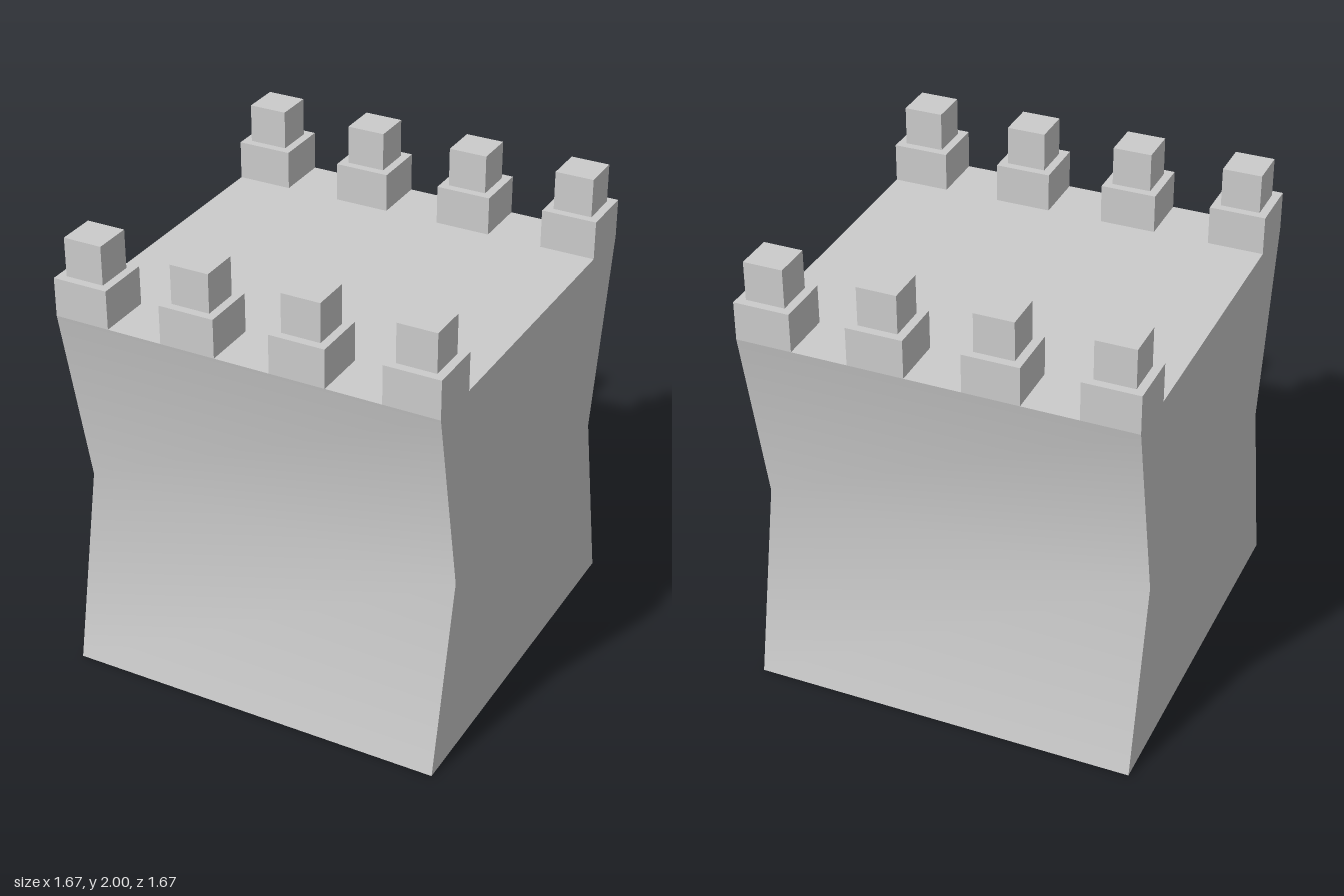
import * as THREE from 'three';

const SIZE = 5 / 3;        // width, depth and height of the tower body
const WAIST = 0.66;        // half depth at mid height
const MERLON = SIZE / 7;   // merlons and gaps share one width
const STEP = 1 / 6;        // height of each merlon tier

export function createModel() {
  const group = new THREE.Group();
  const material = new THREE.MeshStandardMaterial({ color: 0xcccccc });

  function add(name, geometry, x, y, z, parent = group) {
    const mesh = new THREE.Mesh(geometry, material);
    mesh.name = name;
    mesh.position.set(x, y, z);
    parent.add(mesh);
  }

  // Tower body: front and back pinched in at mid height, smooth across the waist
  const body = new THREE.BoxGeometry(SIZE, SIZE, SIZE, 1, 2, 1);
  const pos = body.attributes.position;
  for (let i = 0; i < pos.count; i++) {
    if (Math.abs(pos.getY(i)) < 0.01) pos.setZ(i, Math.sign(pos.getZ(i)) * WAIST);
  }
  body.computeVertexNormals();
  add('towerBody', body, 0, SIZE / 2, 0);

  // Two-tier merlons in rows along the front and back edges
  const baseGeometry = new THREE.BoxGeometry(MERLON, STEP, MERLON);
  const capGeometry = new THREE.BoxGeometry(STEP, STEP, STEP);
  for (const side of [1, -1]) {
    for (let i = 0; i < 4; i++) {
      const merlon = new THREE.Group();
      merlon.name = side > 0 ? 'frontMerlon' : 'backMerlon';
      merlon.position.set((2 * i - 3) * MERLON, SIZE, side * 3 * MERLON);
      add('merlonBase', baseGeometry, 0, STEP / 2, 0, merlon);
      add('merlonCap', capGeometry, 0, STEP * 1.5, 0, merlon);
      group.add(merlon);
    }
  }
  return group;
}
